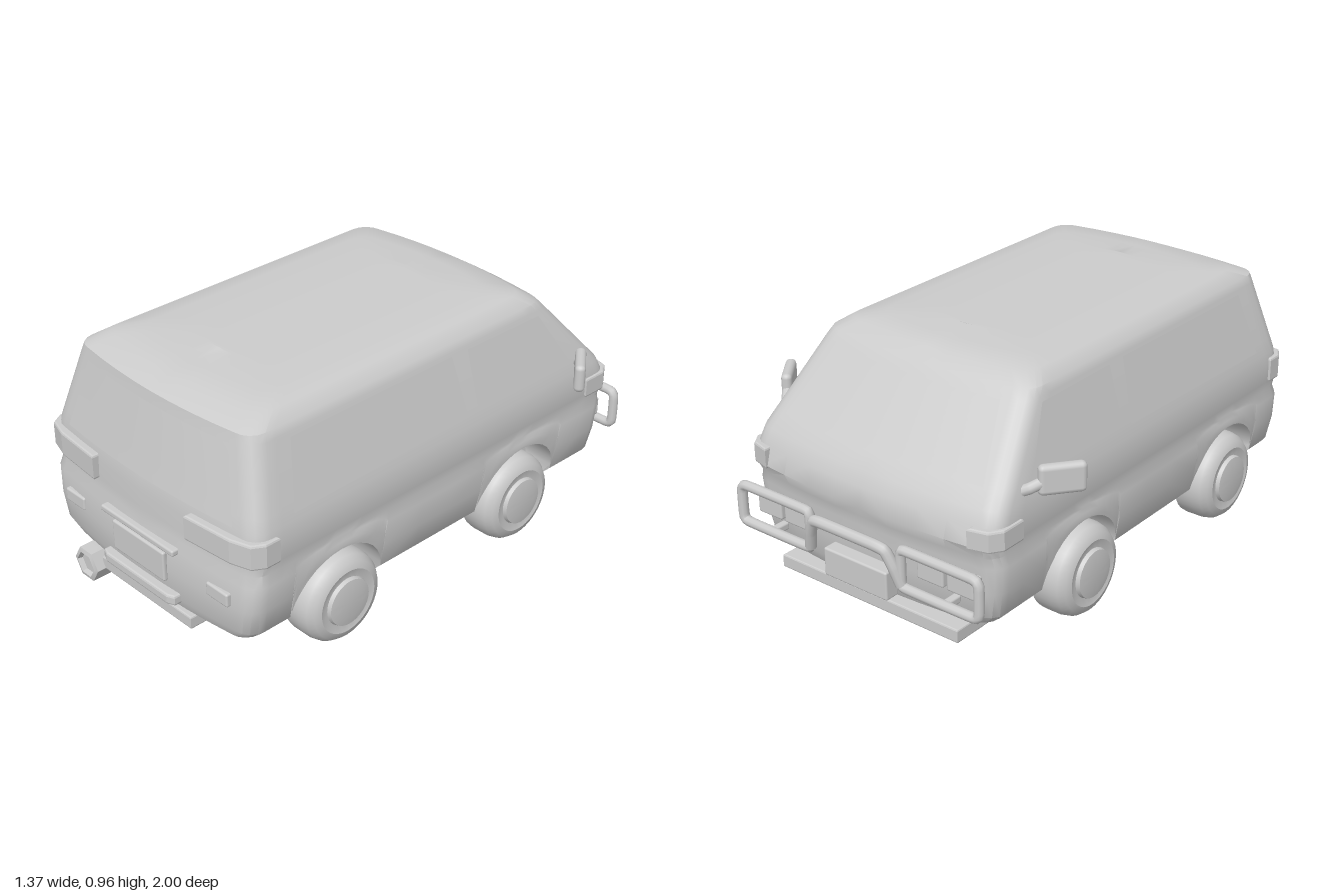
import * as THREE from 'three';
import { mergeGeometries, toCreasedNormals } from 'three/addons/utils/BufferGeometryUtils.js';
import { RoundedBoxGeometry } from 'three/addons/geometries/RoundedBoxGeometry.js';

const grey = new THREE.MeshStandardMaterial({ color: 0xcccccc, side: THREE.DoubleSide });

// Body levels: height, half width, nose z, tail z
const LEVELS = [
  [0.155, 0.485, -0.87, 0.95], [0.2, 0.53, -0.89, 0.965], [0.3, 0.55, -0.9, 0.97], [0.4, 0.558, -0.905, 0.965],
  [0.44, 0.548, -0.91, 0.955], [0.48, 0.557, -0.925, 0.953], [0.55, 0.557, -0.905, 0.95], [0.6, 0.55, -0.88, 0.945],
  [0.65, 0.536, -0.835, 0.934], [0.88, 0.471, -0.633, 0.885], [0.91, 0.46, -0.605, 0.88],
  [0.945, 0.41, -0.55, 0.8], [0.957, 0.33, -0.46, 0.7],
];
const FLOOR = 0.155, BELT = 0.44, CORNER = 0.07, BULGE = 0.03;
const AXLES = [-0.37, 0.53], WHEEL_R = 0.175, ARCH_R = 0.21, ARCH_Y = 0.18;

function level(y) {
  let i = 1;
  while (i < LEVELS.length - 1 && LEVELS[i][0] < y) i++;
  const a = LEVELS[i - 1], b = LEVELS[i];
  const t = THREE.MathUtils.clamp((y - a[0]) / (b[0] - a[0]), 0, 1);
  return a.map((v, k) => v + (b[k] - v) * t);
}

// Points on the nose, tail and flank, used to fit glass to the body
const bulge = (x, w) => BULGE * Math.min(1, Math.abs(x) / (w - CORNER)) ** 2;
const noseAt = (x, y, off) => { const [, w, f] = level(y); return [x, y, f + bulge(x, w) - off]; };
const tailAt = (x, y, off) => { const [, w, , r] = level(y); return [x, y, r - bulge(x, w) + off]; };
const flankAt = (side) => (z, y, off) => [side * (level(y)[1] + off), y, z];

// Surface from a grid of points
function gridGeometry(rows, flip = false) {
  const pos = [], index = [], n = rows[0].length;
  rows.forEach((row) => row.forEach((p) => pos.push(...p)));
  for (let i = 0; i < rows.length - 1; i++) for (let j = 0; j < n - 1; j++) {
    const a = i * n + j, b = a + n, c = a + 1, d = b + 1;
    index.push(...(flip ? [a, c, b, b, c, d] : [a, b, c, c, b, d]));
  }
  const g = new THREE.BufferGeometry();
  g.setAttribute('position', new THREE.Float32BufferAttribute(pos, 3));
  g.setIndex(index);
  g.computeVertexNormals();
  return g;
}

// Plan outline columns of one half, from nose centre round to tail centre
function planColumns() {
  const flat = [0, 0.25, 0.5, 0.75], arc = [0, 1, 2, 3, 4].map((k) => (k * Math.PI) / 8);
  const ends = [...flat.map((f) => ({ f })), ...arc.map((a) => ({ a }))];
  const zs = [-0.7, 0.0, 0.15, 0.8];
  for (const c of AXLES) for (let k = 0; k <= 16; k++) zs.push(c - ARCH_R * Math.cos((k * Math.PI) / 16));
  zs.sort((p, q) => p - q);
  return [
    ...ends.map((e) => ({ ...e, end: 0 })),
    ...zs.map((z) => ({ z })),
    ...ends.map((e) => ({ ...e, end: 1 })).reverse(),
  ];
}

function archBottom(c) {
  let b = FLOOR;
  if (c.z !== undefined) for (const a of AXLES) {
    const d = Math.abs(c.z - a);
    if (d < ARCH_R - 1e-4) b = Math.max(b, ARCH_Y + Math.sqrt(ARCH_R ** 2 - d * d));
  }
  return b;
}

function bodyPoint(c, y0) {
  const b = archBottom(c);
  const y = y0 < BELT ? b + ((y0 - FLOOR) / (BELT - FLOOR)) * (BELT - b) : y0;
  const [, w, f, r] = level(y), inset = BULGE + CORNER;
  if (c.z !== undefined) {
    const t = (c.z - (LEVELS[0][2] + inset)) / (LEVELS[0][3] - LEVELS[0][2] - 2 * inset);
    return [w, y, f + inset + t * (r - f - 2 * inset)];
  }
  const x = c.f !== undefined ? c.f * (w - CORNER) : w - CORNER + CORNER * Math.sin(c.a);
  const d = c.f !== undefined ? BULGE * c.f ** 2 : inset - CORNER * Math.cos(c.a);
  return [x, y, c.end ? r - d : f + d];
}

function bodyGeometry() {
  const cols = planColumns();
  const rows = LEVELS.map(([y]) => cols.map((c) => bodyPoint(c, y)));
  // Wheel wells and floor
  const well = rows[0].map(([x, y, z]) => [Math.min(x, 0.41), y, z]);
  const sill = well.map(([x, , z]) => [x, FLOOR, z]);
  const keel = sill.map(([, y, z]) => [0, y, z]);
  // Crown of the roof
  const top = rows[rows.length - 1];
  const crown = top.map(([x, , z]) => [x * 0.5, 0.962, 0.12 + (z - 0.12) * 0.8]);
  const ridge = crown.map(([, y, z]) => [0, y + 0.001, z]);
  const all = [keel, sill, well, ...rows, crown, ridge];
  const mirrored = all.map((row) => row.map(([x, y, z]) => [-x, y, z]));
  return toCreasedNormals(mergeGeometries([gridGeometry(all), gridGeometry(mirrored, true)]), 0.65);
}

// Glass: corners are (across, height), ordered bottom a, bottom b, top b, top a
function glassGeometry(surface, [p, q, r, s], off = 0.003) {
  const N = 10, rows = [], mix = (a, b, t) => a + (b - a) * t;
  for (let i = 0; i <= N; i++) {
    rows.push([]);
    for (let j = 0; j <= N; j++) {
      const u = j / N, v = i / N;
      rows[i].push(surface(...[0, 1].map((k) => mix(mix(p[k], q[k], u), mix(s[k], r[k], u), v)), off));
    }
  }
  return gridGeometry(rows);
}

// Solid with a plan outline of (x, z) points between two heights
function planSolid(points, y0, y1, bevel = 0.008) {
  const shape = new THREE.Shape(points.map(([x, z]) => new THREE.Vector2(x, -z)));
  const g = new THREE.ExtrudeGeometry(shape, {
    depth: y1 - y0 - 2 * bevel, bevelSize: bevel, bevelThickness: bevel, bevelOffset: -bevel, bevelSegments: 2,
  });
  return g.rotateX(-Math.PI / 2).translate(0, y0 + bevel, 0);
}

const tube = (pts, radius, closed = false) => new THREE.TubeGeometry(
  new THREE.CatmullRomCurve3(pts.map((p) => new THREE.Vector3(...p)), closed, 'catmullrom', 0.2), 64, radius, 10, closed);

export function createModel() {
  const model = new THREE.Group();
  const add = (name, geometry, x = 0, y = 0, z = 0) => {
    const m = new THREE.Mesh(geometry, grey);
    m.name = name;
    m.position.set(x, y, z);
    model.add(m);
    return m;
  };
  const box = (name, w, h, d, x, y, z, r = 0.008) => add(name, new RoundedBoxGeometry(w, h, d, 2, r), x, y, z);

  add('body', bodyGeometry());
  add('windscreen', glassGeometry(noseAt, [[-0.45, 0.655], [0.45, 0.655], [0.37, 0.875], [-0.37, 0.875]]));
  add('tailgateWindow', glassGeometry(tailAt, [[-0.445, 0.605], [0.445, 0.605], [0.375, 0.87], [-0.375, 0.87]]));

  for (const s of [1, -1]) {
    const side = s > 0 ? 'left' : 'right';
    add(side + 'RearSideWindow', glassGeometry(flankAt(s), [[0.74, 0.625], [-0.1, 0.64], [-0.07, 0.87], [0.69, 0.865]]));
    add(side + 'CabWindow', glassGeometry(flankAt(s), [[-0.15, 0.652], [-0.66, 0.652], [-0.53, 0.865], [-0.15, 0.868]]));

    // Tyre with rounded shoulder and raised hub
    const profile = [[0, 0], [0.15, 0], [0.172, 0.01], [WHEEL_R, 0.03], [WHEEL_R, 0.09], [0.168, 0.12],
      [0.15, 0.143], [0.125, 0.152], [0.1, 0.145], [0.094, 0.145], [0.09, 0.16], [0.06, 0.165], [0, 0.165]];
    for (const z of AXLES) {
      const g = new THREE.LatheGeometry(profile.map((p) => new THREE.Vector2(...p)), 40);
      const wheel = add(side + (z < 0 ? 'Front' : 'Rear') + 'Wheel', toCreasedNormals(g, 0.6), s * 0.43, WHEEL_R + 0.003, z);
      wheel.rotation.z = -s * Math.PI / 2;
    }

    // Door mirror and its arm
    const mirror = box(side + 'Mirror', 0.165, 0.11, 0.04, s * 0.624, 0.667, -0.612, 0.018);
    mirror.rotation.y = -s * 0.9;
    add(side + 'MirrorArm', tube([[s * 0.525, 0.625, -0.71], [s * 0.555, 0.64, -0.695], [s * 0.585, 0.66, -0.66]], 0.02));

    // Wraparound tail lamp, front corner lamp
    add(side + 'TailLamp', planSolid(
      [[0.25, 0.968], [0.46, 0.95], [0.54, 0.925], [0.567, 0.88], [0.567, 0.82], [0.52, 0.82], [0.25, 0.88]]
        .map(([x, z]) => [s * x, z]), 0.48, 0.578));
    add(side + 'CornerLamp', planSolid(
      [[0.46, -0.905], [0.535, -0.885], [0.566, -0.84], [0.566, -0.74], [0.52, -0.74], [0.46, -0.84]]
        .map(([x, z]) => [s * x, z]), 0.47, 0.55));
    box(side + 'Reflector', 0.11, 0.053, 0.04, s * 0.395, 0.327, 0.94);

    // Twin head lamps inside a tubular frame
    for (const x of [0.31, 0.44]) box(side + 'HeadLamp', 0.115, 0.075, 0.05, s * x, 0.335, -0.895);
    add(side + 'LampGuard', tube([[0.21, 0.275], [0.23, 0.26], [0.52, 0.26], [0.545, 0.28], [0.545, 0.385],
      [0.52, 0.405], [0.23, 0.405], [0.21, 0.39]].map(([x, y]) => [s * x, y, -0.948]), 0.019, true));
    box(side + 'GuardBracket', 0.03, 0.03, 0.07, s * 0.4, 0.26, -0.915);
  }

  // Centre hoop of the front guard and plate
  add('guardHoop', tube([[-0.21, 0.27, -0.95], [-0.19, 0.34, -0.965], [-0.165, 0.395, -0.975], [-0.12, 0.405, -0.98],
    [0.12, 0.405, -0.98], [0.165, 0.395, -0.975], [0.19, 0.34, -0.965], [0.21, 0.27, -0.95]], 0.021));
  box('frontPlate', 0.29, 0.11, 0.06, 0, 0.235, -0.925);

  // Tailgate plate between two ledges
  box('rearPlate', 0.285, 0.12, 0.02, 0, 0.315, 0.972);
  add('rearStep', planSolid([[-0.2, 0.9], [-0.2, 0.985], [-0.17, 0.998], [0.17, 0.998], [0.2, 0.985], [0.2, 0.9]], 0.185, 0.225));
  box('plateHood', 0.4, 0.025, 0.06, 0, 0.4, 0.955);

  // Undertrays and hexagonal tailpipe
  const tray = (name, w, y0, y1, z0, z1) => add(name,
    planSolid([[-w, z0], [w, z0], [w, z1], [-w, z1]], y0, y1, 0.006));
  tray('frontSkidPlate', 0.41, 0.09, 0.142, -0.9, -0.66);
  tray('rearUndertray', 0.25, 0.1, 0.15, 0.73, 0.96);
  for (const x of [-0.2, 0.2]) {
    box('frontTrayMount', 0.04, 0.04, 0.12, x, 0.15, -0.78);
    box('rearTrayMount', 0.04, 0.04, 0.12, x, 0.155, 0.83);
  }
  const pipe = [[0, 0.23], [0.045, 0.23], [0.05, 0.25], [0.068, 0.245], [0.068, 0.1], [0.06, 0], [0, 0]];
  const exhaust = add('tailpipe', toCreasedNormals(
    new THREE.LatheGeometry(pipe.map((p) => new THREE.Vector2(...p)).reverse(), 6, Math.PI / 2), 0.4), -0.305, 0.105, 0.75);
  exhaust.rotation.x = Math.PI / 2;
  return model;
}
